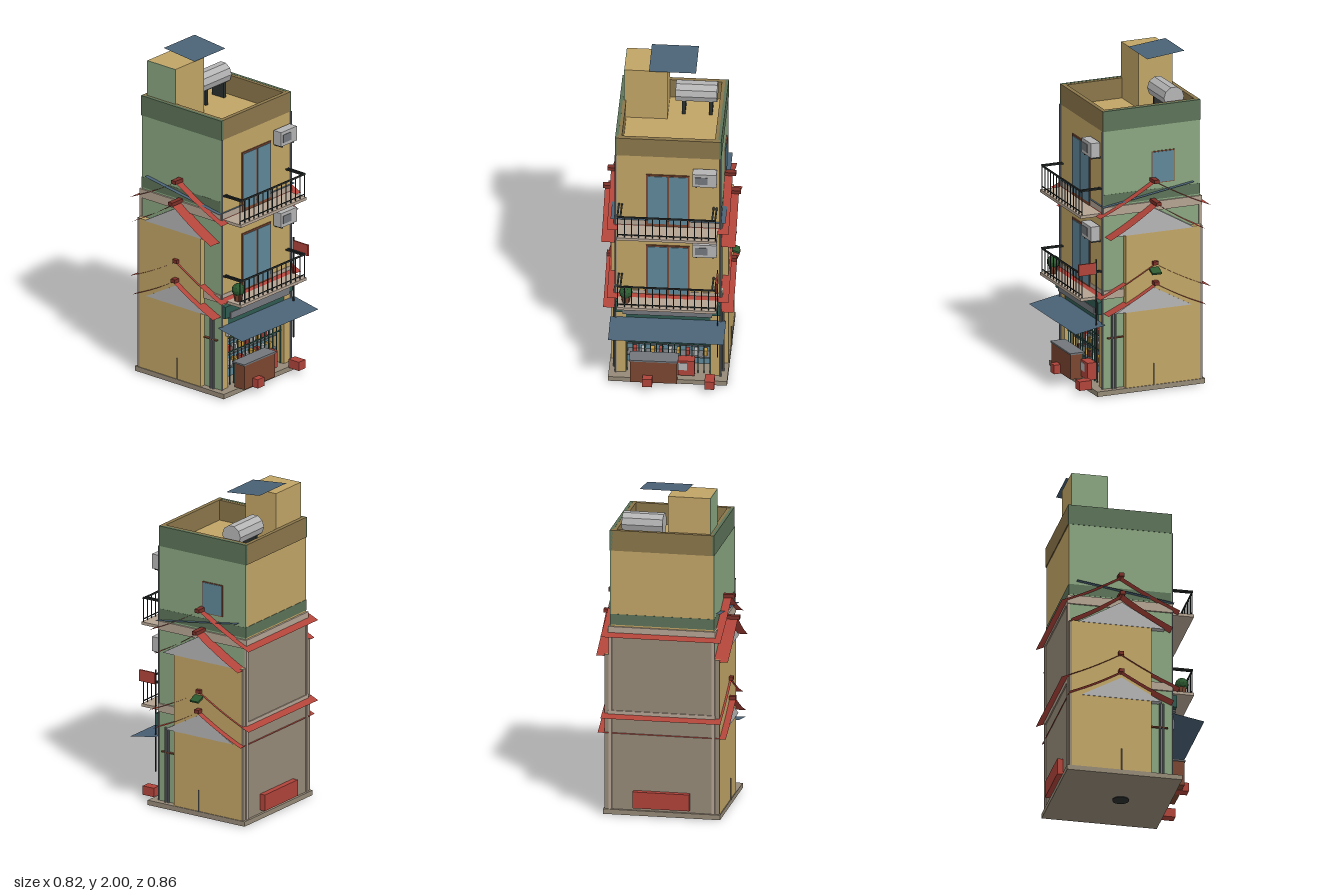
import * as THREE from 'three';

const C = { ochre: 0xc2a566, darkOchre: 0x8a764a, green: 0x8aa680, darkGreen: 0x5c7358, red: 0xb0443a, darkRed: 0x7c3028,
  blue: 0x4a6276, glass: 0x5f8798, slab: 0xb5a493, concrete: 0x968a78, grey: 0xb4b4b4, midGrey: 0x73777c,
  black: 0x2a302f, teal: 0x2f5a50, brown: 0x7a4630, leaf: 0x2c5a30, yellow: 0xc99a3c };

export function createModel() {
  const root = new THREE.Group();
  const mats = {};
  const mat = (color) => mats[color] ??= new THREE.MeshStandardMaterial({ color, side: THREE.DoubleSide, flatShading: true });
  const add = (name, geo, color, x = 0, y = 0, z = 0) => {
    const m = new THREE.Mesh(geo, mat(color));
    m.name = name;
    m.position.set(x, y, z);
    root.add(m);
    return m;
  };
  // box given by its extents
  const box = (name, color, x0, x1, y0, y1, z0, z1) =>
    add(name, new THREE.BoxGeometry(x1 - x0, y1 - y0, z1 - z0), color, (x0 + x1) / 2, (y0 + y1) / 2, (z0 + z1) / 2);
  const mirrored = (name, color, x0, x1, ...r) => {
    box(name, color, x0, x1, ...r);
    box(name, color, -x1, -x0, ...r);
  };
  // thin sheet swept across x along a (z, y) profile
  const sheet = (name, color, halfX, profile) => {
    const pos = [], idx = [];
    profile.forEach(([z, y], i) => {
      pos.push(-halfX, y, z, halfX, y, z);
      if (i) { const a = 2 * i - 2; idx.push(a, a + 1, a + 3, a, a + 3, a + 2); }
    });
    const g = new THREE.BufferGeometry();
    g.setAttribute('position', new THREE.Float32BufferAttribute(pos, 3));
    g.setIndex(idx);
    g.computeVertexNormals();
    return add(name, g, color);
  };

  // base
  box('base', C.concrete, -0.352, 0.352, 0.005, 0.035, -0.4, 0.295);
  add('baseDisc', new THREE.CylinderGeometry(0.05, 0.05, 0.01, 16), C.black, 0, 0.005, 0);

  // main body: solid rear on the ground floor, side walls round the shop, full block above
  box('groundFloorRear', C.darkOchre, -0.305, 0.305, 0.035, 0.5, -0.38, 0.12);
  mirrored('shopSideWall', C.ochre, 0.25, 0.305, 0.035, 0.5, 0.12, 0.24);
  box('upperFloors', C.ochre, -0.305, 0.305, 0.5, 1.62, -0.38, 0.24);
  mirrored('sideWall', C.green, 0.305, 0.312, 0.035, 1.64, -0.38, 0.24);
  box('rearWall', C.concrete, -0.345, 0.345, 0.035, 0.98, -0.385, -0.37);
  box('rearWallTop', C.concrete, -0.312, 0.312, 0.98, 1.1, -0.385, -0.37);
  mirrored('cornerPost', C.slab, 0.3, 0.318, 0.035, 1.1, -0.392, -0.375);
  box('parapetBase', C.darkGreen, -0.313, 0.313, 1.165, 1.23, -0.382, 0.235);

  // parapet round the sunken roof deck
  box('parapetFront', C.darkOchre, -0.305, 0.305, 1.62, 1.745, 0.215, 0.242);
  box('parapetRear', C.darkOchre, -0.305, 0.305, 1.62, 1.745, -0.385, -0.36);
  mirrored('parapetSide', C.darkGreen, 0.295, 0.314, 1.62, 1.745, -0.385, 0.242);
  mirrored('parapetInner', C.darkOchre, 0.275, 0.297, 1.62, 1.744, -0.37, 0.23);

  // side annexes with gable walls
  mirrored('annex', C.ochre, 0.31, 0.347, 0.035, 0.98, -0.37, 0.11);
  for (const [y0, y1, half] of [[0.5, 0.635, 0.245], [0.975, 1.125, 0.26]]) {
    const s = new THREE.Shape([[-half, y0], [half, y0], [0, y1]].map((p) => new THREE.Vector2(...p)));
    const g = new THREE.ExtrudeGeometry(s, { depth: 0.7, bevelEnabled: false });
    g.rotateY(Math.PI / 2);
    add('gableWall', g, C.grey, -0.35, 0, -0.07);
  }

  // floor bands, tiled gable roofs and their ridges
  for (const [y0, y1] of [[0.59, 0.64], [1.1, 1.155]]) box('floorBand', C.slab, -0.322, 0.322, y0, y1, -0.392, 0.243);
  const roofs = [[0.385, 0.66, 0.5, 0.315, 0.385], [0.36, 0.78, 0.6, 0.357, 0.37],
    [0.396, 1.155, 0.97, 0.305, 0.408], [0.36, 1.285, 1.1, 0.357, 0.38]];
  for (const [halfX, ridge, eave, half, ridgeX] of roofs) {
    const profile = [];
    for (let i = -6; i <= 6; i++) {
      const t = Math.abs(i) / 6;
      profile.push([-0.077 - (i / 6) * half, ridge - (ridge - eave) * (t + 0.05 * Math.sin(Math.PI * t))]);
    }
    sheet('tiledRoof', C.red, halfX, profile);
    box('roofRidge', C.darkRed, -ridgeX, ridgeX, ridge - 0.004, ridge + 0.018, -0.092, -0.06);
  }
  sheet('sideCanopy', C.blue, 0.34, [[0.25, 1.158], [-0.335, 1.25]]);

  // doors, balconies and air conditioners on both upper floors
  const rail = (x0, x1, y0, y1, z0, z1) => box('railing', C.black, x0, x1, y0, y1, z0, z1);
  for (const [floor, doorTop, acY] of [[0.605, 0.975, 0.945], [1.115, 1.49, 1.46]]) {
    box('doorFrame', C.brown, -0.13, 0.127, floor, doorTop, 0.235, 0.247);
    mirrored('doorGlass', C.glass, 0.006, 0.117, floor + 0.02, doorTop - 0.01, 0.24, 0.25);
    box('balconySlab', C.slab, -0.295, 0.295, floor - 0.018, floor, 0.24, 0.378);
    const top = floor + 0.145;
    for (let i = 0; i <= 14; i++) {
      const x = -0.29 + i * 0.0414;
      rail(x - 0.003, x + 0.003, floor, top, 0.366, 0.37);
    }
    rail(-0.293, 0.293, top - 0.004, top + 0.006, 0.365, 0.372);
    rail(-0.293, 0.293, floor + 0.015, floor + 0.021, 0.366, 0.37);
    for (const x of [-0.291, -0.273, 0.269, 0.287]) rail(x - 0.005, x + 0.005, top, top + 0.008, 0.24, 0.372);
    box('airConditioner', C.grey, 0.148, 0.29, acY, acY + 0.09, 0.25, 0.308);
    box('fanGrille', C.midGrey, 0.165, 0.237, acY + 0.02, acY + 0.07, 0.3, 0.311);
    for (const x of [0.165, 0.265]) box('bracket', C.black, x, x + 0.008, acY - 0.012, acY, 0.24, 0.3);
  }
  // side window
  box('sideWindowFrame', C.brown, 0.31, 0.317, 1.265, 1.462, -0.218, -0.07);
  box('sideWindow', C.glass, 0.31, 0.32, 1.27, 1.457, -0.213, -0.075);

  // balcony plant
  add('plantPot', new THREE.CylinderGeometry(0.03, 0.022, 0.045, 8), C.brown, -0.245, 0.627, 0.315);
  add('plant', new THREE.IcosahedronGeometry(0.04, 1), C.leaf, -0.245, 0.675, 0.315);

  // hanging sign and its pole
  box('signPole', C.black, 0.291, 0.298, 0.2, 0.835, 0.274, 0.281);
  box('hangingSign', C.red, 0.29, 0.3, 0.745, 0.815, 0.281, 0.392);
  // small side lamp on an arm
  add('sideLamp', new THREE.BoxGeometry(0.07, 0.012, 0.06), C.leaf, 0.366, 0.745, -0.07).rotation.z = -0.4;

  // shop front: fascia, awning, grille, shelves
  box('fascia', C.teal, -0.31, 0.31, 0.495, 0.57, 0.235, 0.272);
  box('fasciaPanel', C.midGrey, -0.268, 0.262, 0.483, 0.525, 0.25, 0.276);
  box('lintel', C.teal, -0.25, 0.25, 0.43, 0.5, 0.2, 0.238);
  sheet('awning', C.blue, 0.342, [[0.43, 0.402], [0.24, 0.437]]);
  box('meterBox', C.grey, -0.272, -0.208, 0.368, 0.43, 0.235, 0.262);
  box('shopBackWall', C.glass, -0.25, 0.25, 0.035, 0.43, 0.118, 0.125);
  for (let r = 0; r < 4; r++) {
    const y = 0.12 + r * 0.085;
    box('shelf', C.midGrey, -0.245, 0.245, y, y + 0.008, 0.125, 0.19);
    for (let i = 0; i < 9; i++) {
      const x = -0.215 + i * 0.052;
      box('goods', [C.red, C.yellow, C.grey][(i * 2 + r) % 3], x, x + 0.025, y + 0.008, y + 0.043, 0.14, 0.175);
    }
  }
  for (let i = 0; i <= 14; i++) {
    const x = -0.245 + i * 0.035;
    box('grilleBar', C.teal, x - 0.003, x + 0.003, 0.035, 0.475, 0.215, 0.221);
  }
  for (const y of [0.24, 0.33, 0.41]) box('grilleRail', C.teal, -0.25, 0.25, y, y + 0.006, 0.215, 0.222);

  // counter, cooler and stools
  box('counter', C.brown, -0.218, 0.058, 0.035, 0.187, 0.26, 0.338);
  box('counterTop', C.midGrey, -0.225, 0.065, 0.187, 0.197, 0.25, 0.343);
  box('cooler', C.red, 0.06, 0.158, 0.05, 0.155, 0.215, 0.272);
  box('coolerLabel', C.grey, 0.062, 0.115, 0.09, 0.14, 0.26, 0.275);
  for (const x of [-0.115, 0.253]) box('stool', C.red, x - 0.029, x + 0.029, 0.033, 0.088, 0.3, 0.38);
  box('rearBox', C.red, -0.17, 0.17, 0.055, 0.155, -0.42, -0.38);

  // pipes and posts on the sides
  for (const s of [-1, 1]) {
    const pipe = (x, z, y0, y1, r) =>
      add('pipe', new THREE.CylinderGeometry(r, r, y1 - y0, 8), C.midGrey, s * x, (y0 + y1) / 2, z);
    pipe(0.322, 0.187, 0.035, 0.5, 0.007);
    pipe(0.322, 0.167, 0.035, 0.5, 0.007);
    pipe(0.353, -0.07, 0.035, 0.17, 0.004);
    pipe(0.31, 0.243, 0.035, 1.62, 0.006);
  }
  mirrored('pipeClamp', C.brown, 0.312, 0.328, 0.343, 0.35, 0.115, 0.215);

  // rooftop stair tower, panel and water tank
  box('stairTower', C.ochre, -0.283, -0.032, 1.62, 1.965, -0.36, -0.14);
  box('towerSide', C.green, -0.287, -0.283, 1.62, 1.965, -0.36, -0.14);
  sheet('roofPanel', C.blue, 0.139, [[-0.12, 1.976], [-0.36, 2.0]]);
  const tank = add('waterTank', new THREE.CylinderGeometry(0.065, 0.065, 0.245, 10), C.grey, 0.136, 1.76, -0.24);
  tank.rotation.z = Math.PI / 2;
  for (const x of [0.05, 0.21]) box('tankStand', C.black, x, x + 0.02, 1.62, 1.72, -0.285, -0.195);

  return root;
}
